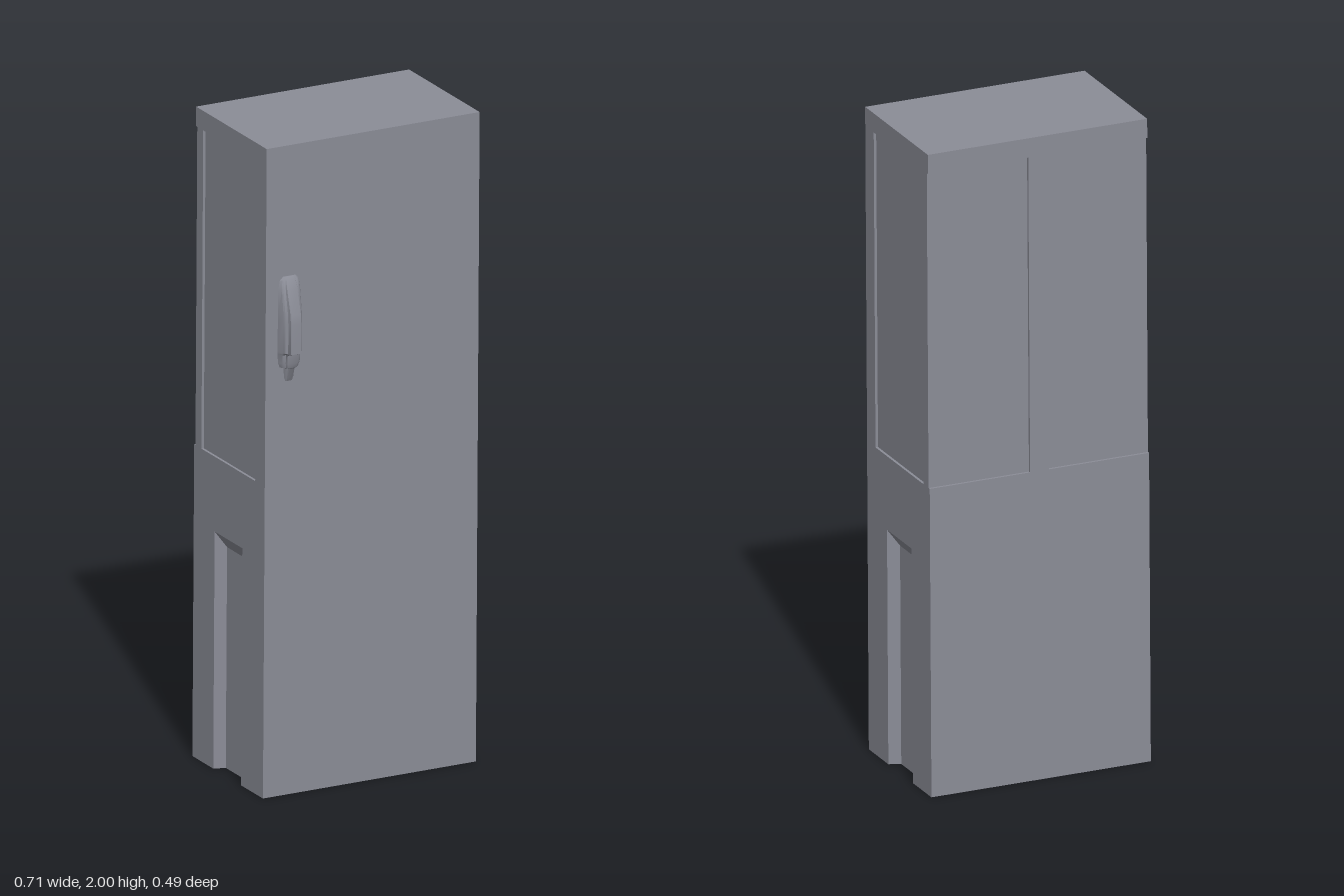
import * as THREE from 'three';
import { mergeGeometries, toCreasedNormals } from 'three/addons/utils/BufferGeometryUtils.js';

const X = 0.352, F = 0.1935, B = -0.2405, H = 2; // half width, front, back, height
const LO = 0.96, HI = 1.94, D = 0.008;            // panel recess bottom, top, depth

// Flat polygons (with optional holes), turned to face the hinted direction
function faceBuilder() {
  const pos = [];
  const face = (hint, pts, holes = []) => {
    const n = new THREE.Vector3(...hint);
    const axis = [0, 1, 2].reduce((m, i) => (Math.abs(hint[i]) > Math.abs(hint[m]) ? i : m), 0);
    const flat = (p) => new THREE.Vector2(...p.filter((_, i) => i !== axis));
    const all = [...pts, ...holes.flat()];
    for (const t of THREE.ShapeUtils.triangulateShape(pts.map(flat), holes.map((h) => h.map(flat)))) {
      const v = t.map((i) => new THREE.Vector3(...all[i]));
      const normal = new THREE.Vector3().crossVectors(v[1].clone().sub(v[0]), v[2].clone().sub(v[0]));
      if (normal.dot(n) < 0) v.reverse();
      v.forEach((p) => pos.push(p.x, p.y, p.z));
    }
  };
  return { face, build: () => toGeometry(pos) };
}

function toGeometry(pos) {
  const g = new THREE.BufferGeometry();
  g.setAttribute('position', new THREE.Float32BufferAttribute(pos, 3));
  return g;
}

// Mirror across x and reverse the corner order
function mirrored(g) {
  const a = g.attributes.position.array, out = [];
  for (let i = 0; i < a.length; i += 9) {
    for (const k of [0, 6, 3]) out.push(-a[i + k], a[i + k + 1], a[i + k + 2]);
  }
  return toGeometry(out);
}

function cabinetHalf() {
  const { face, build } = faceBuilder();
  const b = B + D;

  // Front and top
  face([0, 0, 1], [[0, 0, F], [X, 0, F], [X, H, F], [0, H, F]]);
  face([0, 1, 0], [[0, H, F], [X, H, F], [X, H, B], [0, H, B]]);

  // Side channel: outer and inner z edges, outer and inner top
  const z0 = 0.058, z1 = -0.112, i0 = 0.044, i1 = -0.1, top = 0.73, inTop = 0.68, xi = X - 0.035;
  face([0, -1, 0], [[0, 0, F], [X, 0, F], [X, 0, z0], [xi, 0, i0], [xi, 0, i1], [X, 0, z1], [X, 0, B], [0, 0, B]]);
  face([1, 0, 0], [[xi, 0, i0], [xi, inTop, i0], [xi, inTop, i1], [xi, 0, i1]]);
  face([0.3, 0, -1], [[X, 0, z0], [X, top, z0], [xi, inTop, i0], [xi, 0, i0]]);
  face([0.3, 0, 1], [[X, 0, z1], [X, top, z1], [xi, inTop, i1], [xi, 0, i1]]);
  face([0.5, -1, 0], [[X, top, z0], [X, top, z1], [xi, inTop, i1], [xi, inTop, i0]]);

  // Side wall with its panel opening
  const p0 = 0.135, p1 = -0.196, xp = X - D;
  const opening = [[X, LO, p0], [X, HI, p0], [X, HI, p1], [X, LO, p1]];
  face([1, 0, 0], [
    [X, 0, F], [X, H, F], [X, H, B], [X, HI, B], [X, HI, b], [X, LO, b], [X, LO, B], [X, 0, B],
    [X, 0, z1], [X, top, z1], [X, top, z0], [X, 0, z0],
  ], [opening]);
  const floor = opening.map(([, y, z]) => [xp, y, z]);
  face([1, 0, 0], floor);
  [[0, 0, -1], [0, -1, 0], [0, 0, 1], [0, 1, 0]].forEach((n, i) => {
    const j = (i + 1) % 4;
    face(n, [opening[i], opening[j], floor[j], floor[i]]);
  });

  // Back: lower wall, top band, centre post and a recess open at the corner
  const s = 0.03;
  face([0, 0, -1], [[0, 0, B], [X, 0, B], [X, LO, B], [s, LO, B], [s, HI, B], [X, HI, B], [X, H, B], [0, H, B]]);
  face([0, 0, -1], [[s, LO, b], [X, LO, b], [X, HI, b], [s, HI, b]]);
  face([1, 0, 0], [[s, LO, B], [s, HI, B], [s, HI, b], [s, LO, b]]);
  face([0, 1, 0], [[s, LO, B], [X, LO, B], [X, LO, b], [s, LO, b]]);
  face([0, -1, 0], [[s, HI, B], [X, HI, B], [X, HI, b], [s, HI, b]]);
  return build();
}

// Latch handle lofted downwards through stepped cross-sections
function handleGeometry() {
  const stations = [ // y, half width, depth
    [1.598, 0.02, 0.002], [1.588, 0.031, 0.01], [1.56, 0.036, 0.022], [1.49, 0.037, 0.044],
    [1.46, 0.037, 0.047], [1.37, 0.037, 0.048], [1.362, 0.037, 0.028], [1.335, 0.036, 0.025],
    [1.32, 0.03, 0.021], [1.317, 0.018, 0.019], [1.285, 0.015, 0.007], [1.275, 0.011, 0.002],
  ];
  const half = [[1, 0], [0.82, 0.5], [0.72, 0.62], [0.54, 0.7], [0.48, 0.96], [0.42, 1]];
  const section = [...half.map(([w, d]) => [-w, d]), ...half.map(([w, d]) => [w, d]).reverse()];
  const rings = stations.map(([y, w, d]) => section.map(([u, v]) => [u * w, y, v * d]));
  const pos = [];
  const n = section.length;
  for (let r = 0; r < rings.length - 1; r++) {
    for (let i = 0; i < n - 1; i++) {
      const [a, b, c, d] = [rings[r][i], rings[r][i + 1], rings[r + 1][i + 1], rings[r + 1][i]];
      pos.push(...a, ...d, ...b, ...b, ...d, ...c);
    }
  }
  const first = rings[0], last = rings[rings.length - 1];
  for (let i = 1; i < n - 1; i++) {
    pos.push(...first[0], ...first[i], ...first[i + 1], ...last[0], ...last[i + 1], ...last[i]);
  }
  return toGeometry(pos);
}

// The whole cabinet leans very slightly
function lean(g) {
  const p = g.attributes.position;
  for (let i = 0; i < p.count; i++) {
    const k = p.getY(i) - 1;
    p.setX(i, p.getX(i) + 0.004 * k);
    p.setZ(i, p.getZ(i) + 0.004 * k);
  }
  return g;
}

export function createModel() {
  const group = new THREE.Group();
  group.name = 'cabinet';
  const grey = new THREE.MeshStandardMaterial({ color: 0x8b8d97 });
  grey.name = 'grey metal';

  const half = cabinetHalf();
  const body = lean(mergeGeometries([half, mirrored(half)]));
  body.computeVertexNormals();
  const cabinet = new THREE.Mesh(body, grey);
  cabinet.name = 'cabinetBody';

  const grip = lean(handleGeometry().translate(-0.275, 0, F));
  const handle = new THREE.Mesh(toCreasedNormals(grip, 0.6), grey);
  handle.name = 'doorHandle';

  group.add(cabinet, handle);
  return group;
}
